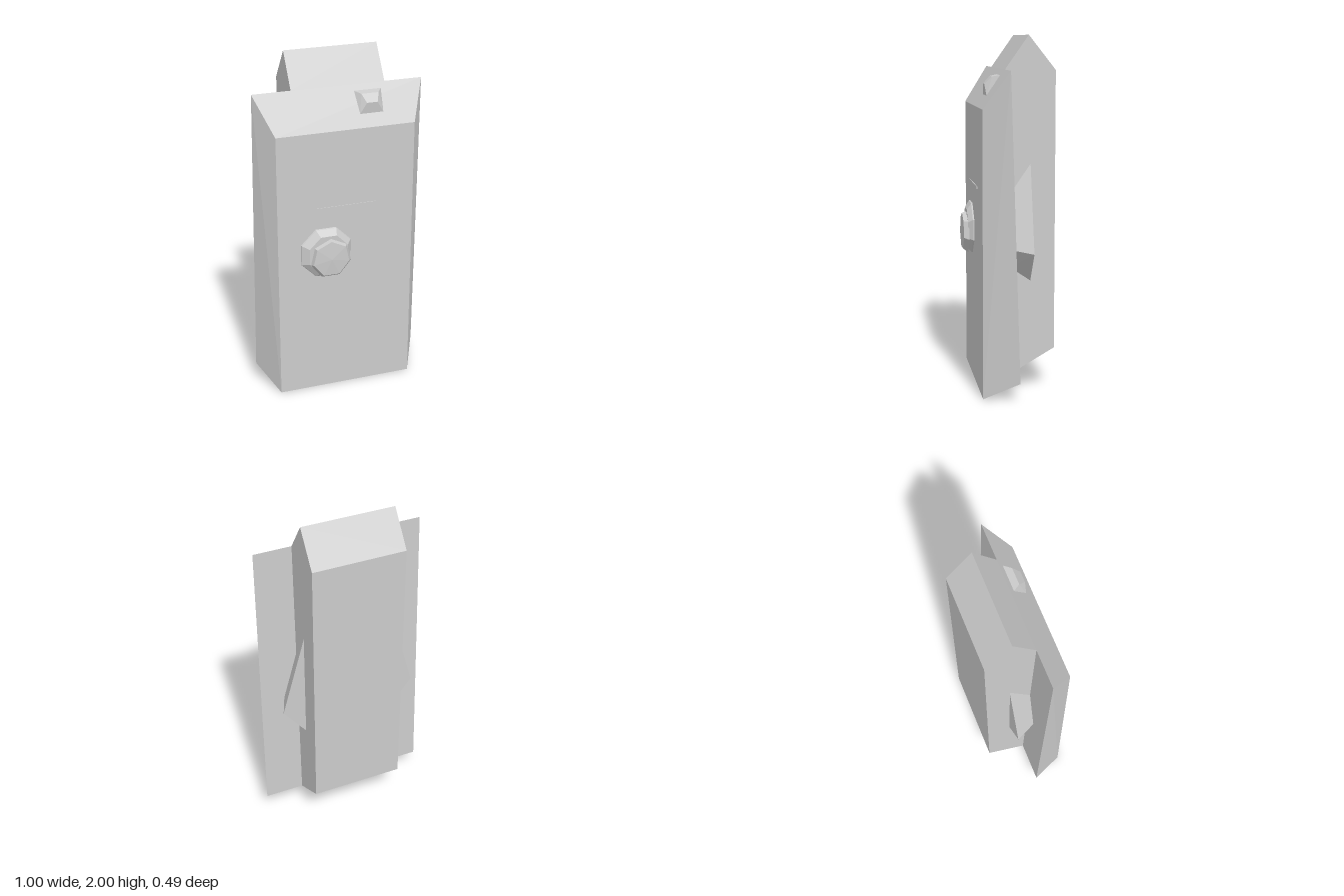
import * as THREE from 'three';
import { ConvexGeometry } from 'three/addons/geometries/ConvexGeometry.js';

const material = new THREE.MeshStandardMaterial({ color: 0xcccccc, flatShading: true });

// Faceted solid spanned by a few corner points
function solid(name, points) {
  const geometry = new ConvexGeometry(points.map(p => new THREE.Vector3(...p)));
  const mesh = new THREE.Mesh(geometry, material);
  mesh.name = name;
  return mesh;
}

// Pairs of corners at +x and -x for each [halfWidth, y, z], about centre cx
const mirrored = (rows, cx = 0) =>
  rows.flatMap(([w, y, z]) => [[cx + w, y, z], [cx - w, y, z]]);

// Ring of n points facing +z
const ring = (n, r, cx, cy, z, turn) =>
  Array.from({ length: n }, (_, i) => {
    const a = turn + (i / n) * Math.PI * 2;
    return [cx + r * Math.cos(a), cy + r * Math.sin(a), z];
  });

export function createModel() {
  const group = new THREE.Group();
  group.name = 'slab';

  // Front plate with bevelled sides, sloped top and bottom
  group.add(solid('frontPlate', mirrored([
    [0.4, 0, 0.178], [0.4, 1.605, 0.178],
    [0.5, 0.11, -0.015], [0.49, 1.813, 0.037],
  ])));

  // Narrower rear block with a gabled top
  group.add(solid('rearBlock', mirrored([
    [0.27, 0.11, -0.015], [0.27, 1.813, 0.037], [0.27, 2, -0.095],
    [0.27, 1.81, -0.245], [0.27, 0.243, -0.245],
  ])));

  // Triangular fins beside the rear block
  for (const [name, s] of [['leftFin', 1], ['rightFin', -1]]) {
    group.add(solid(name, [
      [0.265, 1.315, -0.107], [0.265, 0.63, -0.107], [0.405, 0.81, -0.107],
      [0.265, 1.13, 0.02], [0.265, 0.71, 0.008], [0.355, 0.828, 0.008],
    ].map(([x, y, z]) => [s * x, y, z])));
  }

  // Octagonal knob base and offset seven-sided cap
  group.add(solid('knobBase', [
    ...ring(8, 0.162, -0.12, 0.888, 0.17, Math.PI / 8),
    ...ring(8, 0.155, -0.12, 0.888, 0.186, Math.PI / 8),
    ...ring(8, 0.122, -0.112, 0.883, 0.211, Math.PI / 8),
  ]));
  group.add(solid('knobCap', [
    ...ring(7, 0.124, -0.1, 0.858, 0.205, Math.PI / 2),
    ...ring(7, 0.108, -0.104, 0.864, 0.235, Math.PI / 2),
    [-0.104, 0.864, 0.242],
  ]));

  // Thin raised line above the knob
  const line = new THREE.Mesh(new THREE.BoxGeometry(0.35, 0.014, 0.008), material);
  line.name = 'raisedLine';
  line.position.set(0, 1.155, 0.178);
  group.add(line);

  // Small tapered button on the sloped top
  group.add(solid('topButton', mirrored([
    [0.068, 1.67, 0.133], [0.078, 1.782, 0.059],
    [0.031, 1.733, 0.14], [0.05, 1.774, 0.1],
  ], 0.163)));

  return group;
}
